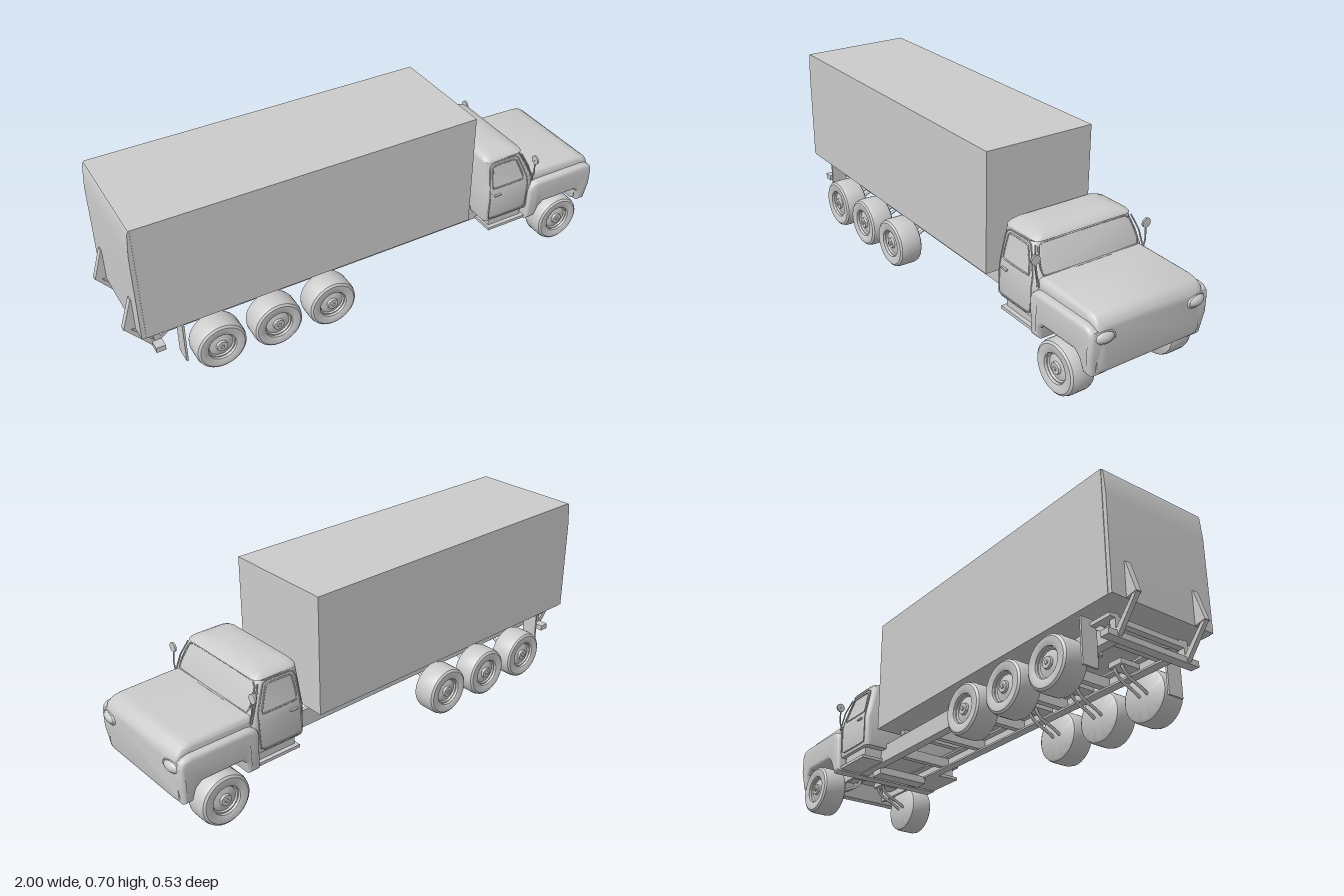
import * as THREE from 'three';
import { toCreasedNormals } from 'three/addons/utils/BufferGeometryUtils.js';

const mat = new THREE.MeshStandardMaterial({ color: 0xcccccc });
const V = (x, y, z) => new THREE.Vector3(x, y, z);

function add(parent, name, geo) {
  const mesh = new THREE.Mesh(geo, mat);
  mesh.name = name;
  parent.add(mesh);
  return mesh;
}

// Box given by its limits
function block(parent, name, x0, x1, y0, y1, z0, z1) {
  const geo = new THREE.BoxGeometry(x1 - x0, y1 - y0, Math.abs(z1 - z0));
  return add(parent, name, geo.translate((x0 + x1) / 2, (y0 + y1) / 2, (z0 + z1) / 2));
}

// Rounded rectangle ring, counter-clockwise
function ring(u0, u1, v0, v1, r) {
  const pts = [], n = 5;
  [[u1 - r, v1 - r], [u0 + r, v1 - r], [u0 + r, v0 + r], [u1 - r, v0 + r]].forEach(([cu, cv], k) => {
    for (let i = 0; i <= n; i++) {
      const a = (k + i / n) * Math.PI / 2;
      pts.push([cu + r * Math.cos(a), cv + r * Math.sin(a)]);
    }
  });
  return pts;
}

// Skin rings of 3D points, closing both ends
function loft(rings) {
  const n = rings[0].length, pos = [], idx = [];
  rings.forEach(r => r.forEach(p => pos.push(p.x, p.y, p.z)));
  for (let i = 0; i < rings.length - 1; i++) for (let j = 0; j < n; j++) {
    const a = i * n + j, b = i * n + (j + 1) % n;
    idx.push(a, b, b + n, a, b + n, a + n);
  }
  const last = (rings.length - 1) * n;
  for (let j = 1; j < n - 1; j++) idx.push(0, j + 1, j, last, last + j, last + j + 1);
  const geo = new THREE.BufferGeometry();
  geo.setAttribute('position', new THREE.Float32BufferAttribute(pos, 3));
  geo.setIndex(idx);
  return toCreasedNormals(geo, 0.6);
}

// Side profile in x,y extruded from z0 to z1
function profile(points, z0, z1, bevel = 0) {
  const shape = new THREE.Shape(points.map(p => new THREE.Vector2(...p)));
  const geo = new THREE.ExtrudeGeometry(shape, {
    depth: z1 - z0 - 2 * bevel, bevelEnabled: bevel > 0, bevelSize: bevel,
    bevelThickness: bevel, bevelOffset: -bevel, bevelSegments: 4,
  });
  return toCreasedNormals(geo.translate(0, 0, z0 + bevel), 0.6);
}

function tube(parent, name, pts, r, closed = false, tension = 0.1) {
  const curve = new THREE.CatmullRomCurve3(pts, closed, 'catmullrom', tension);
  return add(parent, name, new THREE.TubeGeometry(curve, 40, r, 6, closed));
}

function wheelGeometry() {
  const p = [[0, -0.049], [0.085, -0.049], [0.094, -0.043], [0.098, -0.03], [0.098, 0.03], [0.094, 0.043],
    [0.086, 0.049], [0.06, 0.049], [0.055, 0.046], [0.054, 0.036], [0.05, 0.036], [0.046, 0.03],
    [0.022, 0.036], [0.02, 0.045], [0.008, 0.045], [0.007, 0.049], [0, 0.049]];
  const geo = new THREE.LatheGeometry(p.map(q => new THREE.Vector2(...q)), 40);
  return toCreasedNormals(geo.rotateX(Math.PI / 2), 0.6);
}

function buildCab(truck) {
  const cab = new THREE.Group();
  cab.name = 'cab';
  truck.add(cab);
  // Shell stations: y, back x, front x, half width, corner radius
  const shell = [[0.2, 0.468, 0.69, 0.23, 0.02], [0.22, 0.465, 0.692, 0.234, 0.025], [0.32, 0.463, 0.692, 0.236, 0.025],
    [0.355, 0.463, 0.69, 0.23, 0.03], [0.46, 0.466, 0.637, 0.208, 0.03], [0.465, 0.466, 0.648, 0.209, 0.03],
    [0.473, 0.469, 0.643, 0.203, 0.03], [0.483, 0.477, 0.622, 0.18, 0.03], [0.49, 0.492, 0.6, 0.15, 0.03], [0.493, 0.52, 0.57, 0.11, 0.02]];
  add(cab, 'cabShell', loft(shell.map(([y, x0, x1, w, r]) => ring(-w, w, x0, x1, r).map(([z, x]) => V(x, y, z)))));

  // Bonnet and nose stations: x, bottom, top, half width, corner radius
  const bonnet = [[0.67, 0.145, 0.36, 0.225, 0.025], [0.715, 0.145, 0.36, 0.226, 0.025], [0.725, 0.21, 0.36, 0.226, 0.025],
    [0.92, 0.21, 0.355, 0.226, 0.025], [0.93, 0.14, 0.354, 0.226, 0.025], [0.955, 0.14, 0.348, 0.226, 0.025],
    [0.972, 0.142, 0.335, 0.226, 0.025], [0.982, 0.15, 0.318, 0.22, 0.025], [0.986, 0.165, 0.305, 0.205, 0.02]];
  add(cab, 'bonnet', loft(bonnet.map(([x, y0, y1, w, r]) => ring(y0, y1, -w, w, r).map(([y, z]) => V(x, y, z)))));

  // Windscreen frame and wiper
  const screen = [[0.36, 0.205], [0.455, 0.19], [0.455, -0.19], [0.36, -0.205]];
  tube(cab, 'windscreenFrame', screen.map(([y, z]) => V(0.69 - (y - 0.355) * 0.5, y, z)), 0.003, true);
  block(cab, 'wiper', 0.688, 0.696, 0.357, 0.361, -0.08, 0.08);

  const fenderShape = [[0.668, 0.145], [0.668, 0.285], [0.675, 0.305], [0.69, 0.318], [0.71, 0.323], [0.94, 0.323],
    [0.965, 0.318], [0.98, 0.305], [0.985, 0.285], [0.984, 0.22], [0.975, 0.142], [0.937, 0.142], [0.927, 0.195],
    [0.905, 0.213], [0.745, 0.213], [0.725, 0.195], [0.715, 0.145]];
  const sideZ = y => (y < 0.32 ? 0.236 : y < 0.355 ? 0.236 - (y - 0.32) * 0.17 : 0.23 - (y - 0.355) * 0.21);

  for (const s of [1, -1]) {
    // Fender, drawn in slightly at the lower edge
    const fender = profile(fenderShape, s > 0 ? 0.17 : -0.253, s > 0 ? 0.253 : -0.17, 0.016);
    const p = fender.attributes.position;
    for (let i = 0; i < p.count; i++) if (p.getY(i) < 0.17) p.setZ(i, p.getZ(i) * 0.96);
    add(cab, 'fender', fender);

    // Headlight with rim
    const lamp = add(cab, 'headlight', new THREE.SphereGeometry(1, 24, 16));
    lamp.scale.set(0.02, 0.022, 0.038);
    const rim = add(cab, 'headlightRim', new THREE.TorusGeometry(1, 0.12, 8, 32).rotateY(Math.PI / 2));
    rim.scale.set(0.05, 0.023, 0.039);
    lamp.position.set(0.98, 0.28, s * 0.197);
    rim.position.set(0.982, 0.28, s * 0.197);
    lamp.rotation.y = rim.rotation.y = -s * 0.12;

    // Door seam, window frame, handle
    const outline = pts => pts.map(([x, y]) => V(x, y, s * sideZ(y)));
    tube(cab, 'doorSeam', outline([[0.483, 0.215], [0.655, 0.215], [0.662, 0.32], [0.66, 0.355], [0.617, 0.456],
      [0.5, 0.456], [0.486, 0.44], [0.483, 0.355], [0.483, 0.32]]), 0.0025, true);
    tube(cab, 'windowFrame', outline([[0.497, 0.352], [0.643, 0.352], [0.608, 0.443], [0.503, 0.443]]), 0.003, true);
    block(cab, 'doorHandle', 0.5, 0.53, 0.317, 0.323, s * 0.234, s * 0.244);

    // Mirror on its stays
    const mirror = add(cab, 'mirror', new THREE.CylinderGeometry(0.018, 0.018, 0.007, 24).rotateZ(Math.PI / 2));
    mirror.position.set(0.685, 0.43, s * 0.24);
    tube(cab, 'mirrorStay', [V(0.69, 0.325, s * 0.224), V(0.69, 0.37, s * 0.236), V(0.683, 0.43, s * 0.24)], 0.003);
    tube(cab, 'mirrorBrace', [V(0.64, 0.455, s * 0.207), V(0.665, 0.4, s * 0.226), V(0.69, 0.33, s * 0.232)], 0.003);

    // Entry step
    block(cab, 'step', 0.49, 0.665, 0.15, 0.162, s * 0.14, s * 0.232);
    block(cab, 'stepRiser', 0.5, 0.655, 0.162, 0.2, s * 0.14, s * 0.215);
  }
}

function buildChassis(truck) {
  const chassis = new THREE.Group();
  chassis.name = 'chassis';
  truck.add(chassis);
  for (const s of [1, -1]) {
    // Channel rail with subframe on top
    block(chassis, 'railWeb', -0.85, 0.93, 0.15, 0.2, s * 0.125, s * 0.137);
    for (const y of [0.148, 0.195]) block(chassis, 'railFlange', -0.85, 0.7, y, y + 0.007, s * 0.1, s * 0.137);
    block(chassis, 'subframe', -0.82, 0.49, 0.2, 0.219, s * 0.12, s * 0.137);
    block(chassis, 'mudFlap', -0.811, -0.803, 0.057, 0.225, s * 0.155, s * 0.22);
  }
  for (const x of [-0.84, -0.57, -0.35, -0.1, 0.15, 0.4]) block(chassis, 'crossMember', x, x + 0.025, 0.155, 0.195, -0.125, 0.125);
  for (const x of [-0.75, -0.4, 0, 0.33]) block(chassis, 'bodyBearer', x, x + 0.025, 0.219, 0.24, -0.14, 0.14);
  block(chassis, 'transmissionSupport', 0.55, 0.61, 0.125, 0.155, -0.11, 0.11);

  // Wheels with paired bent axle arms
  const wheel = wheelGeometry();
  for (const x of [-0.685, -0.46, -0.235, 0.825]) for (const s of [1, -1]) {
    const w = add(chassis, 'wheel', wheel);
    w.position.set(x, 0.1, s * 0.214);
    if (s < 0) w.rotation.y = Math.PI;
    for (const dx of [-0.018, 0.018]) {
      tube(chassis, 'axleArm', [V(x + dx, 0.1, s * 0.167), V(x + dx, 0.118, s * 0.135),
        V(x + dx, 0.14, s * 0.085), V(x + dx, 0.165, s * 0.06), V(x + dx, 0.185, s * 0.055)], 0.006, false, 0.5);
    }
    block(chassis, 'axleMount', x - 0.03, x + 0.03, 0.175, 0.195, s * 0.04, s * 0.125);
  }
}

function buildCargo(truck) {
  const cargo = new THREE.Group();
  cargo.name = 'cargoBody';
  truck.add(cargo);
  block(cargo, 'cargoBox', -0.942, 0.39, 0.238, 0.702, -0.227, 0.227);
  add(cargo, 'tailgate', profile([[-0.942, 0.238], [-0.942, 0.702], [-0.946, 0.7], [-0.951, 0.688],
    [-0.958, 0.6], [-0.958, 0.238]].reverse(), -0.225, 0.225));

  // Tail lift: bar, diagonal arms and door brackets
  block(cargo, 'liftBar', -0.908, -0.872, 0.128, 0.15, -0.2, 0.2);
  block(cargo, 'liftTorsionBar', -0.9, -0.875, 0.185, 0.205, -0.16, 0.16);
  for (const s of [1, -1]) {
    const z0 = s * 0.152;
    add(cargo, 'liftArm', profile([[-0.905, 0.13], [-0.885, 0.14], [-0.988, 0.256], [-1, 0.25]], z0 - 0.009, z0 + 0.009));
    add(cargo, 'liftBracket', profile([[-1, 0.248], [-0.955, 0.24], [-0.955, 0.37], [-0.962, 0.37]], z0 - 0.012, z0 + 0.012));
    add(cargo, 'liftStrut', profile([[-0.9, 0.14], [-0.885, 0.14], [-0.8, 0.2], [-0.82, 0.21]], z0 - 0.008, z0 + 0.008));
    block(cargo, 'liftHanger', -0.9, -0.875, 0.14, 0.215, z0 - 0.008, z0 + 0.008);
    block(cargo, 'liftLink', -0.9, -0.8, 0.198, 0.212, z0 - 0.03, z0 + 0.01);
  }
}

export function createModel() {
  const truck = new THREE.Group();
  truck.name = 'boxTruck';
  buildCab(truck);
  buildChassis(truck);
  buildCargo(truck);
  return truck;
}
